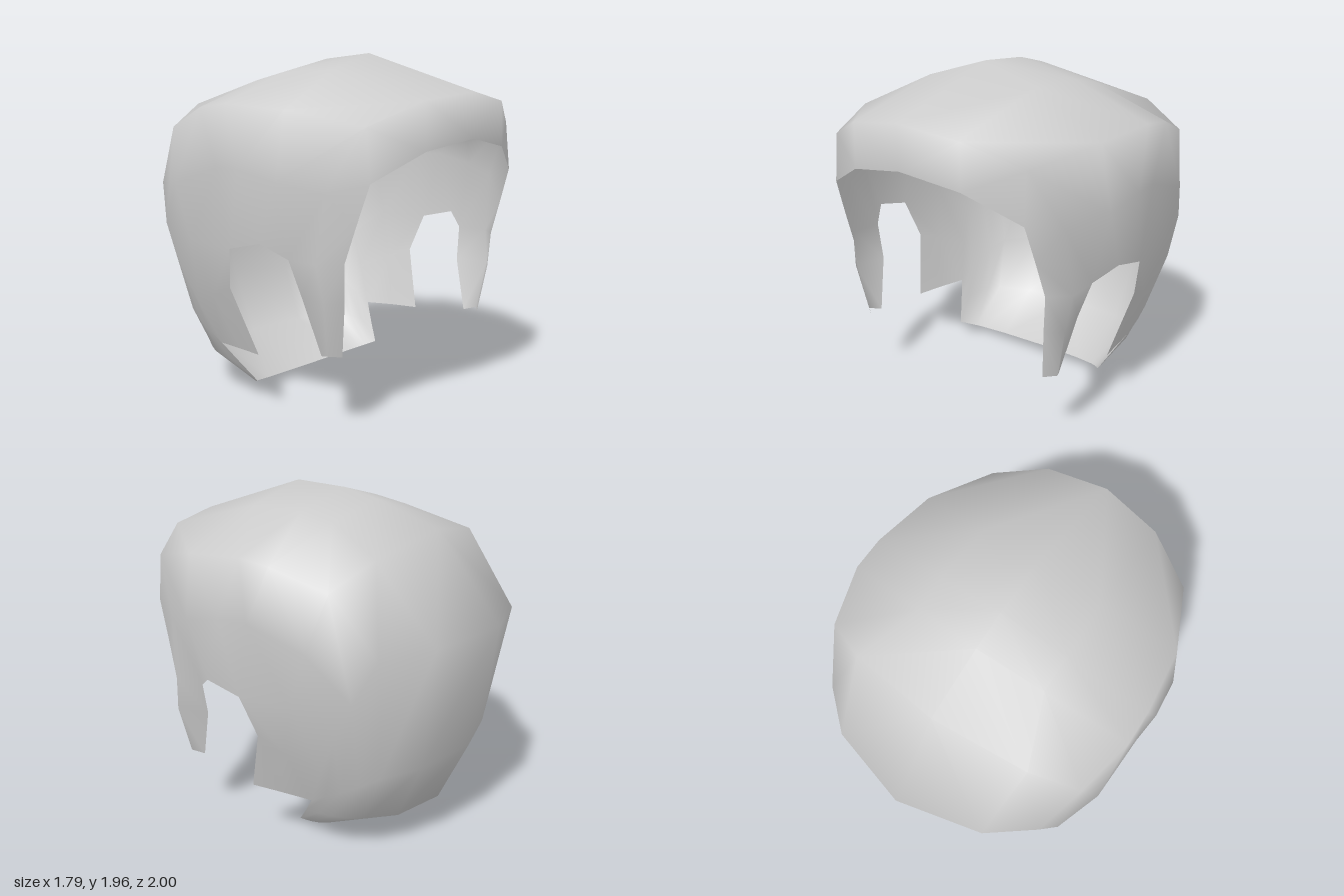
import * as THREE from 'three';

const V = (x, y, z) => new THREE.Vector3(x, y, z);

// Where the arc over the head bends, as fractions of the way to the shoulder: across, then down
const BROW = [0.55, 0.27], CROWN = [0.45, 0.34], BACK = [0.67, 0.39];

// Half section from the centre line over the shoulder and down the side
function rib([across, down], spineY, spineZ, shoulder, ...side) {
  const spine = V(0, spineY, spineZ);
  const bend = spine.clone().lerp(shoulder, down).setX(shoulder.x * across);
  return [spine, bend, shoulder, ...side];
}

// Back section: the side runs from shoulder to rim and swells outwards, most in its upper half
function backRib(spineY, spineZ, shoulder, rim) {
  const swell = 0.09 * shoulder.distanceTo(rim);
  const side = [0.25, 0.5, 0.75, 1].map((t) => {
    const p = shoulder.clone().lerp(rim, t);
    p.x += swell * Math.sin(Math.PI * t ** 0.8);
    return p;
  });
  return rib(BACK, spineY, spineZ, shoulder, ...side);
}

function hairSections() {
  const notch = V(0.66, 0.32, -0.235); // step in the rim behind the ear, shared by two sections
  return [
    // brow edge, brow crest and crown, each running down into the curled sideburn
    rib(BROW, 1.5, 1, V(0.645, 1.3, 0.84), V(0.665, 1.1, 0.775), V(0.68, 0.9, 0.71), V(0.665, 0.7, 0.7), V(0.63, 0.41, 0.655)),
    rib(BROW, 1.74, 1, V(0.64, 1.57, 0.815), V(0.75, 1.25, 0.645), V(0.78, 0.9, 0.61), V(0.755, 0.7, 0.64), V(0.695, 0.42, 0.61)),
    rib(CROWN, 1.96, 0.3, V(0.81, 1.65, 0.43), V(0.87, 1.3, 0.42), V(0.775, 0.9, 0.42), V(0.71, 0.7, 0.45), V(0.66, 0.4, 0.54)),
    // short section above the ear
    rib(CROWN, 1.94, -0.02, V(0.86, 1.68, 0.05), V(0.895, 1.35, 0.18), V(0.86, 0.98, 0.3)),
    // edge behind the ear
    rib(CROWN, 1.89, -0.23, V(0.865, 1.66, -0.14), V(0.88, 1.35, 0), V(0.865, 0.93, 0.08), V(0.805, 0.7, 0.01), V(0.715, 0.335, 0.13)),
    // back of the head
    backRib(1.76, -0.62, V(0.8, 1.55, -0.45), V(0.69, 0.33, -0.05)),
    backRib(1.28, -1, V(0.71, 1.22, -0.68), notch),
    backRib(0.56, -0.86, V(0.58, 0.52, -0.62), notch),
    // nape, tucked in underneath
    backRib(0.18, -0.68, V(0.52, 0.22, -0.49), V(0.6, 0.21, -0.155)),
    backRib(0, -0.28, V(0.43, 0.05, -0.18), V(0.54, 0.1, -0.07)),
  ];
}

// Skin the mirrored sections into one smooth open shell, sharing coincident points
function shellGeometry(rows) {
  const points = [], index = [], known = new Map();
  const vertex = (row, j) => {
    const p = row[Math.abs(j)].clone();
    if (j < 0) p.x = -p.x;
    const key = p.toArray().map((n) => n.toFixed(4)).join();
    if (!known.has(key)) known.set(key, points.push(p) - 1);
    return known.get(key);
  };
  const triangle = (a, b, c) => {
    if (a !== b && b !== c && c !== a) index.push(a, b, c);
  };
  for (let i = 0; i < rows.length - 1; i++) {
    const front = rows[i], back = rows[i + 1];
    const n = Math.min(front.length, back.length) - 1;
    for (let j = -n; j < n; j++) {
      const a = vertex(front, j), b = vertex(back, j);
      const c = vertex(front, j + 1), d = vertex(back, j + 1);
      // mirror the diagonal on the two sides
      if (j < 0) {
        triangle(a, c, b);
        triangle(c, d, b);
      } else {
        triangle(a, c, d);
        triangle(a, d, b);
      }
    }
  }
  const geometry = new THREE.BufferGeometry().setFromPoints(points);
  geometry.setIndex(index);
  geometry.computeVertexNormals();
  return geometry;
}

export function createModel() {
  const group = new THREE.Group();
  group.name = 'hair';
  const material = new THREE.MeshStandardMaterial({ color: 0xcccccc, side: THREE.DoubleSide });
  const shell = new THREE.Mesh(shellGeometry(hairSections()), material);
  shell.name = 'hairShell';
  group.add(shell);
  return group;
}
